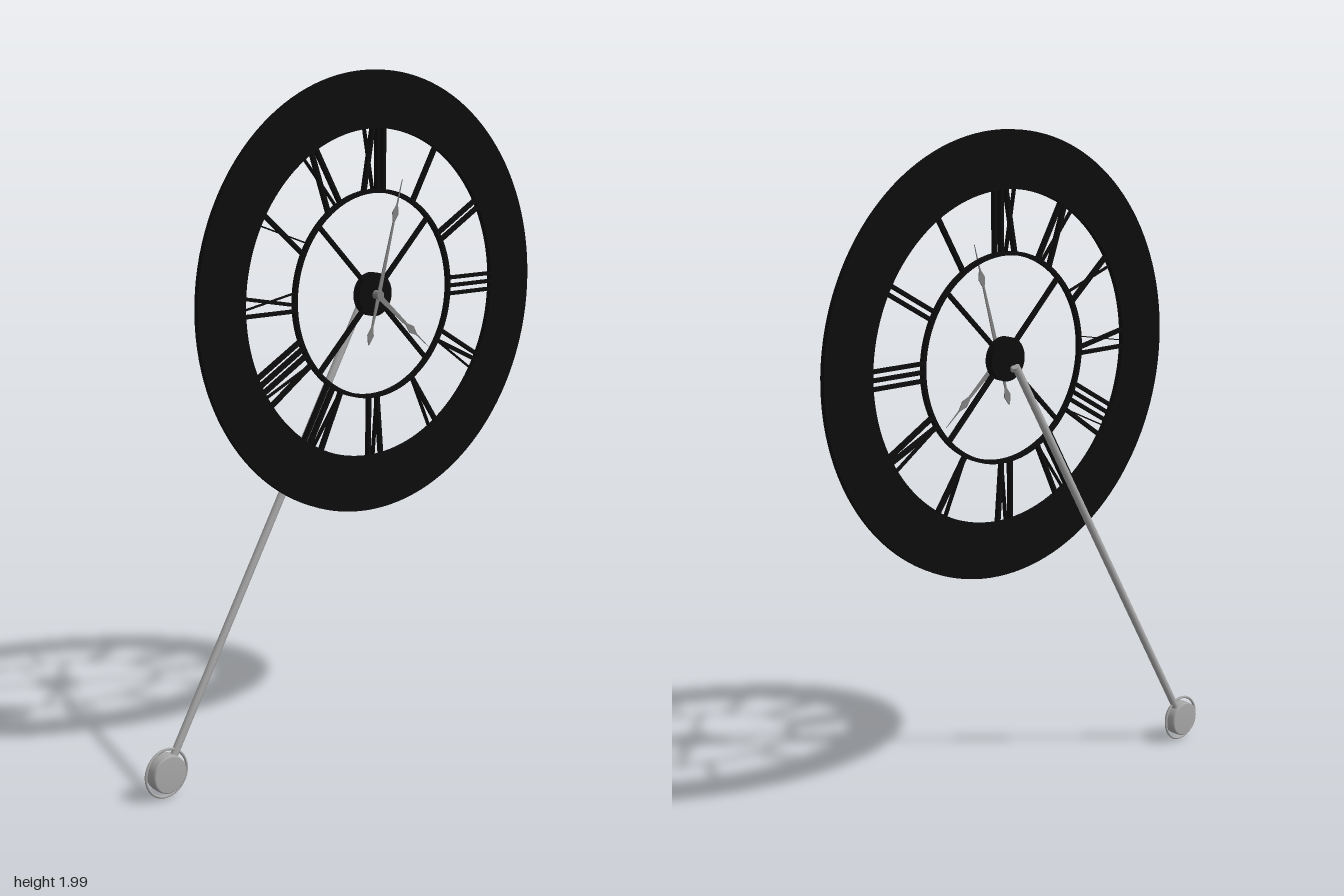
import * as THREE from 'three';

const black = new THREE.MeshStandardMaterial({ name: 'black', color: 0x0c0c0c });
const silver = new THREE.MeshStandardMaterial({ name: 'silver', color: 0xa8a8a8 });
const grey = new THREE.MeshStandardMaterial({ name: 'hand grey', color: 0x808080 });

const R_OUT = 0.638, R_IN = 0.475, R_MID = 0.303, HUB = 0.063;
const Z0 = 0.008, DEPTH = 0.015;

function add(parent, name, geometry, material, x = 0, y = 0, z = 0) {
  const mesh = new THREE.Mesh(geometry, material);
  mesh.name = name;
  mesh.position.set(x, y, z);
  parent.add(mesh);
  return mesh;
}

// Flat ring with a round hole, from z = 0 to depth
function ring(outer, inner, depth) {
  const shape = new THREE.Shape().absarc(0, 0, outer, 0, Math.PI * 2);
  shape.holes.push(new THREE.Path().absarc(0, 0, inner, 0, Math.PI * 2, true));
  return new THREE.ExtrudeGeometry(shape, { depth, bevelEnabled: false, curveSegments: 64 });
}

function disc(radius, depth, segments = 48) {
  return new THREE.CylinderGeometry(radius, radius, depth, segments).rotateX(Math.PI / 2);
}

// Straight bar between two points in the dial plane
function bar(parent, name, x0, y0, x1, y1, width) {
  const length = Math.hypot(x1 - x0, y1 - y0);
  const mesh = add(parent, name, new THREE.BoxGeometry(width, length, DEPTH), black,
    (x0 + x1) / 2, (y0 + y1) / 2, Z0 + DEPTH / 2);
  mesh.rotation.z = -Math.atan2(x1 - x0, y1 - y0);
}

// Numeral strokes spanning the gap between the two rings
function numeral(text, hour) {
  const group = new THREE.Group();
  group.name = 'numeral' + hour;
  const widths = { I: 0.024, V: 0.042, X: 0.044 };
  let x = -[...text].reduce((sum, c) => sum + widths[c], 0) / 2;
  const stroke = (outer, inner, width) =>
    bar(group, 'numeralStroke', inner, R_MID - 0.006, outer, R_IN + 0.006, width);
  for (const c of text) {
    const w = widths[c], mid = x + w / 2, a = x + 0.005, b = x + w - 0.005;
    if (c === 'I') stroke(mid, mid, 0.01);
    if (c === 'V') { stroke(a, mid, 0.01); stroke(b, mid, 0.002); }
    if (c === 'X') { stroke(b, a, 0.01); stroke(a, b, 0.002); }
    x += w;
  }
  group.rotation.z = -hour * Math.PI / 6;
  return group;
}

// Tapered hand outline with a diamond near its end
function handShape(length, diamond, width) {
  const s = new THREE.Shape();
  const side = [[width, 0], [width * 0.45, diamond - 0.025], [0.012, diamond], [0.002, diamond + 0.026]];
  s.moveTo(-width, 0);
  side.forEach(([x, y]) => s.lineTo(x, y));
  s.lineTo(0, length);
  side.reverse().forEach(([x, y]) => s.lineTo(-x, y));
  return new THREE.ExtrudeGeometry(s, { depth: 0.003, bevelEnabled: false });
}

export function createModel() {
  const model = new THREE.Group();
  model.name = 'pendulumClock';

  const clock = new THREE.Group();
  clock.name = 'clock';
  clock.position.set(0.085, 1.362, 0);
  model.add(clock);

  // Dial frame
  add(clock, 'outerRing', ring(R_OUT, R_IN, DEPTH), black, 0, 0, Z0);
  add(clock, 'innerRing', ring(R_MID, R_MID - 0.011, DEPTH), black, 0, 0, Z0);
  add(clock, 'hub', disc(HUB, 0.026), black, 0, 0, 0.01);
  for (let i = 0; i < 4; i++) {
    const a = Math.PI / 4 + i * Math.PI / 2, c = Math.cos(a), s = Math.sin(a);
    bar(clock, 'spoke', c * 0.05, s * 0.05, c * 0.297, s * 0.297, 0.009);
  }
  ['I', 'II', 'III', 'IV', 'V', 'VI', 'VII', 'VIII', 'IX', 'X', 'XI', 'XII']
    .forEach((text, i) => clock.add(numeral(text, i + 1)));

  // Hands and their pin
  const minute = 0.268, hour = 2.27;
  add(clock, 'minuteHand', handShape(0.34, 0.24, 0.007), grey, 0, 0, 0.035).rotation.z = -minute;
  add(clock, 'minuteHandTail', handShape(0.148, 0.12, 0.007), grey, 0, 0, 0.035).rotation.z = Math.PI - minute;
  add(clock, 'hourHand', handShape(0.268, 0.178, 0.009), grey, 0, 0, 0.029).rotation.z = -hour;
  add(clock, 'handPin', disc(0.013, 0.024, 24), grey, 0, 0, 0.033);

  // Pendulum swung to one side behind the dial
  const pendulum = new THREE.Group();
  pendulum.name = 'pendulum';
  pendulum.position.z = -0.022;
  pendulum.rotation.z = -Math.PI / 6;
  clock.add(pendulum);
  const bobY = -1.478, top = -0.022, bottom = bobY + 0.05;
  add(pendulum, 'rod', new THREE.CylinderGeometry(0.0115, 0.0115, top - bottom, 12), silver,
    0, (top + bottom) / 2, 0);
  add(pendulum, 'rodPin', disc(0.01, 0.03, 16), silver, 0, top - 0.012, 0.008);

  // Bob with softened rims and a slim surrounding ring
  const profile = [[0, -0.022], [0.05, -0.022], [0.054, -0.019], [0.055, -0.014],
    [0.055, 0.014], [0.054, 0.019], [0.05, 0.022], [0, 0.022]].map(p => new THREE.Vector2(...p));
  add(pendulum, 'bob', new THREE.LatheGeometry(profile, 40).rotateX(Math.PI / 2), silver, 0, bobY, 0);
  add(pendulum, 'bobRing', new THREE.TorusGeometry(0.069, 0.004, 8, 48), silver, 0, bobY, 0);

  return model;
}
